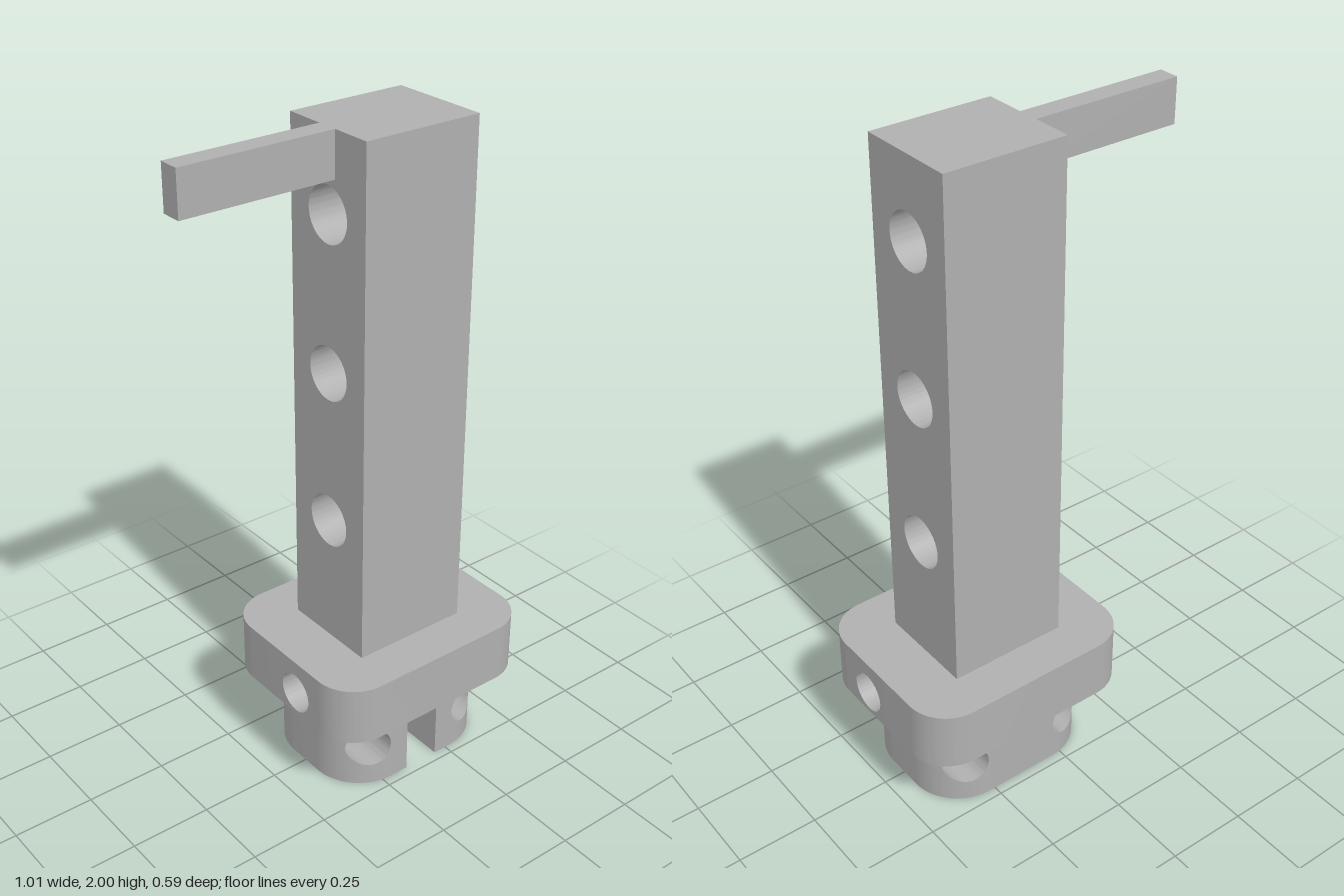
import * as THREE from 'three';
import { toCreasedNormals } from 'three/addons/utils/BufferGeometryUtils.js';

const metal = new THREE.MeshStandardMaterial({ color: 0xb0b0b0 });
metal.name = 'plain grey';

function addMesh(group, name, geometry, x = 0, y = 0, z = 0) {
  const mesh = new THREE.Mesh(geometry, metal);
  mesh.name = name;
  mesh.position.set(x, y, z);
  group.add(mesh);
  return mesh;
}

// Half chord of a circle of radius r at distance d from its centre
const chord = (r, d) => Math.sqrt(Math.max(0, r * r - d * d));

// Rounded block built in columns along x, drilled through along z,
// with an optional keyhole cut vertically and open to +z.
function drilledBlock({ U, V, R, y0, y1, holes, holeY, holeR, key }) {
  const f = (u) => V - R + chord(R, Math.max(0, Math.abs(u) - (U - R)));
  const k = (u) => chord(key.r, u);

  // Column borders: corners, drill holes and keyhole
  const samples = [];
  const N = 24;
  for (let i = 0; i <= N; i++) {
    const t = i / N;
    const corner = U - R + R * Math.sin(t * Math.PI / 2);
    samples.push(corner, -corner);
    for (const c of holes) samples.push(c - holeR * Math.cos(t * Math.PI));
    if (key) samples.push(-key.r * Math.cos(t * Math.PI));
  }
  if (key) samples.push(-key.slot, key.slot);
  samples.sort((a, b) => a - b);
  const us = samples.filter((u, i) => i === 0 || u - samples[i - 1] > 1e-7);

  const pos = [];
  const quad = (a, b, c, d, flip = false) => {
    const order = flip ? [a, c, b, a, d, c] : [a, b, c, a, c, d];
    for (const p of order) pos.push(...p);
  };
  // Upright strip between two columns, depth given by za and zb
  const upright = (a, b, za, zb, la, lb, ha, hb, flip) =>
    quad([a, la, za], [b, lb, zb], [b, hb, zb], [a, ha, za], flip);
  // Level strip between two columns, from back (n) to front (m)
  const level = (a, b, ya, yb, ma, mb, na, nb, flip) =>
    quad([a, ya, ma], [b, yb, mb], [b, yb, nb], [a, ya, na], flip);

  for (let i = 0; i + 1 < us.length; i++) {
    const a = us[i], b = us[i + 1], mid = (a + b) / 2;
    const fa = f(a), fb = f(b);
    const hole = holes.find((c) => Math.abs(mid - c) < holeR);
    const inKey = key && Math.abs(mid) < key.r;
    const inSlot = key && Math.abs(mid) < key.slot;

    // Front and back walls, and the tunnel of a drill hole
    for (const side of [1, -1]) {
      if (side === 1 && inSlot) continue;
      const flip = side < 0;
      if (hole === undefined) {
        upright(a, b, side * fa, side * fb, y0, y0, y1, y1, flip);
      } else {
        const ha = chord(holeR, a - hole), hb = chord(holeR, b - hole);
        upright(a, b, side * fa, side * fb, y0, y0, holeY - ha, holeY - hb, flip);
        upright(a, b, side * fa, side * fb, holeY + ha, holeY + hb, y1, y1, flip);
        level(a, b, holeY - side * ha, holeY - side * hb, fa, fb, -fa, -fb, flip);
      }
    }

    // Top and bottom faces, and the round wall of the keyhole
    for (const [y, flip] of [[y1, false], [y0, true]]) {
      if (!inKey) {
        level(a, b, y, y, fa, fb, -fa, -fb, flip);
      } else {
        level(a, b, y, y, -k(a), -k(b), -fa, -fb, flip);
        if (!inSlot) level(a, b, y, y, fa, fb, k(a), k(b), flip);
      }
    }
    if (inKey) {
      upright(a, b, -k(a), -k(b), y0, y0, y1, y1, false);
      if (!inSlot) upright(a, b, k(a), k(b), y0, y0, y1, y1, true);
    }
  }

  // Flat end walls and the slot's side walls
  const endWall = (u, front, back, flip) =>
    quad([u, y0, front], [u, y0, back], [u, y1, back], [u, y1, front], flip);
  endWall(U, f(U), -f(U), false);
  endWall(-U, f(U), -f(U), true);
  if (key) {
    endWall(-key.slot, f(key.slot), k(key.slot), false);
    endWall(key.slot, f(key.slot), k(key.slot), true);
  }

  const geometry = new THREE.BufferGeometry();
  geometry.setAttribute('position', new THREE.Float32BufferAttribute(pos, 3));
  return toCreasedNormals(geometry, 0.5);
}

export function createModel() {
  const model = new THREE.Group();
  model.name = 'drilledPost';
  const centreX = 0.15;

  // Plug with two cross holes and a keyhole slot
  addMesh(model, 'plug', drilledBlock({
    U: 0.28, V: 0.22, R: 0.16, y0: 0, y1: 0.255,
    holes: [-0.185, 0.185], holeY: 0.13, holeR: 0.063,
    key: { r: 0.1, slot: 0.0575 },
  }), centreX);

  // Flange with one off-centre hole running sideways
  addMesh(model, 'flange', drilledBlock({
    U: 0.295, V: 0.355, R: 0.128, y0: 0.255, y1: 0.44,
    holes: [-0.055], holeY: 0.33, holeR: 0.063,
  }), centreX).rotation.y = Math.PI / 2;

  // Square post with three sideways holes
  const face = new THREE.Shape();
  face.moveTo(-0.157, 0.44).lineTo(0.157, 0.44).lineTo(0.157, 2).lineTo(-0.157, 2).closePath();
  for (const y of [0.838, 1.308, 1.765]) {
    face.holes.push(new THREE.Path().absarc(0, y, 0.081, 0, Math.PI * 2, true));
  }
  const post = new THREE.ExtrudeGeometry(face, { depth: 0.372, bevelEnabled: false, curveSegments: 40 });
  addMesh(model, 'post', toCreasedNormals(post, 0.5), -0.037).rotation.y = Math.PI / 2;

  // Arm at the top of the post
  addMesh(model, 'arm', new THREE.BoxGeometry(0.471, 0.132, 0.064), -0.2725, 1.934, 0);

  return model;
}
